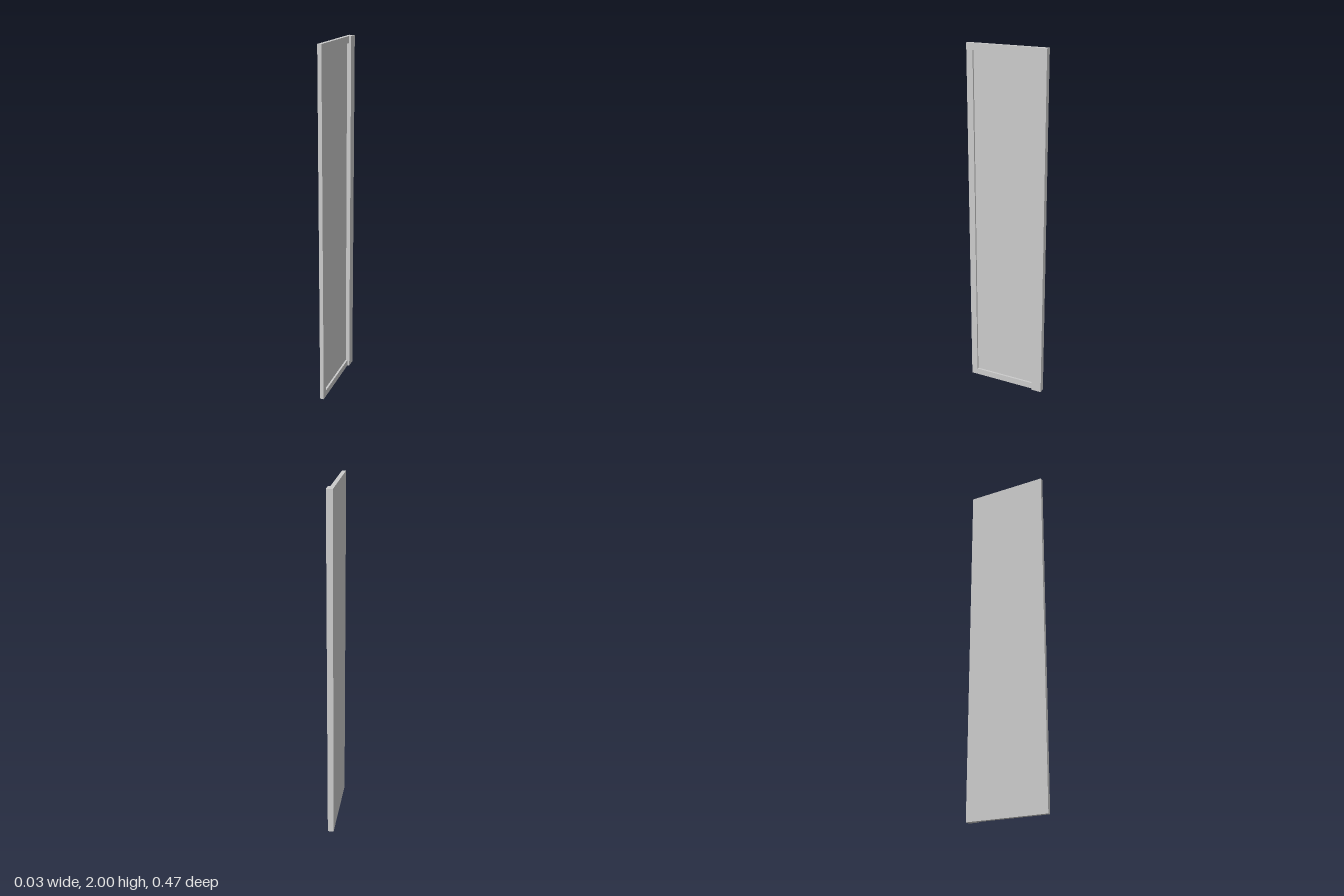
import * as THREE from 'three';

export function createModel() {
  const group = new THREE.Group();
  const material = new THREE.MeshStandardMaterial({ color: 0xcccccc });

  // Box given by its minimum and maximum corners
  const addBox = (name, [x0, y0, z0], [x1, y1, z1]) => {
    const mesh = new THREE.Mesh(new THREE.BoxGeometry(x1 - x0, y1 - y0, z1 - z0), material);
    mesh.position.set((x0 + x1) / 2, (y0 + y1) / 2, (z0 + z1) / 2);
    mesh.name = name;
    group.add(mesh);
  };

  const back = -0.017, floor = -0.006, face = 0.005, lip = 0.017;
  const zBack = -0.233, zStile = -0.174, zFront = 0.233;
  const height = 2, rim = 0.037;

  // Flat door panel forming the floor of the recess
  addBox('backPanel', [back, 0, zStile], [floor, height, zFront]);

  // Thick full-height stile along the rear edge
  addBox('handleStile', [back, 0, zBack], [lip, height, zStile]);

  // Raised three-sided rim: bottom rail, front stile and top rail
  const outline = [
    [zStile, 0], [zFront, 0], [zFront, height], [zStile, height],
    [zStile, height - rim], [zFront - rim, height - rim], [zFront - rim, rim], [zStile, rim],
  ];
  const shape = new THREE.Shape(outline.map(([z, y]) => new THREE.Vector2(-z, y)));
  const geometry = new THREE.ExtrudeGeometry(shape, { depth: face - floor, bevelEnabled: false });
  geometry.rotateY(Math.PI / 2); // shape x becomes -z, depth becomes +x
  geometry.translate(floor, 0, 0);
  const frame = new THREE.Mesh(geometry, material);
  frame.name = 'raisedRim';
  group.add(frame);

  return group;
}
